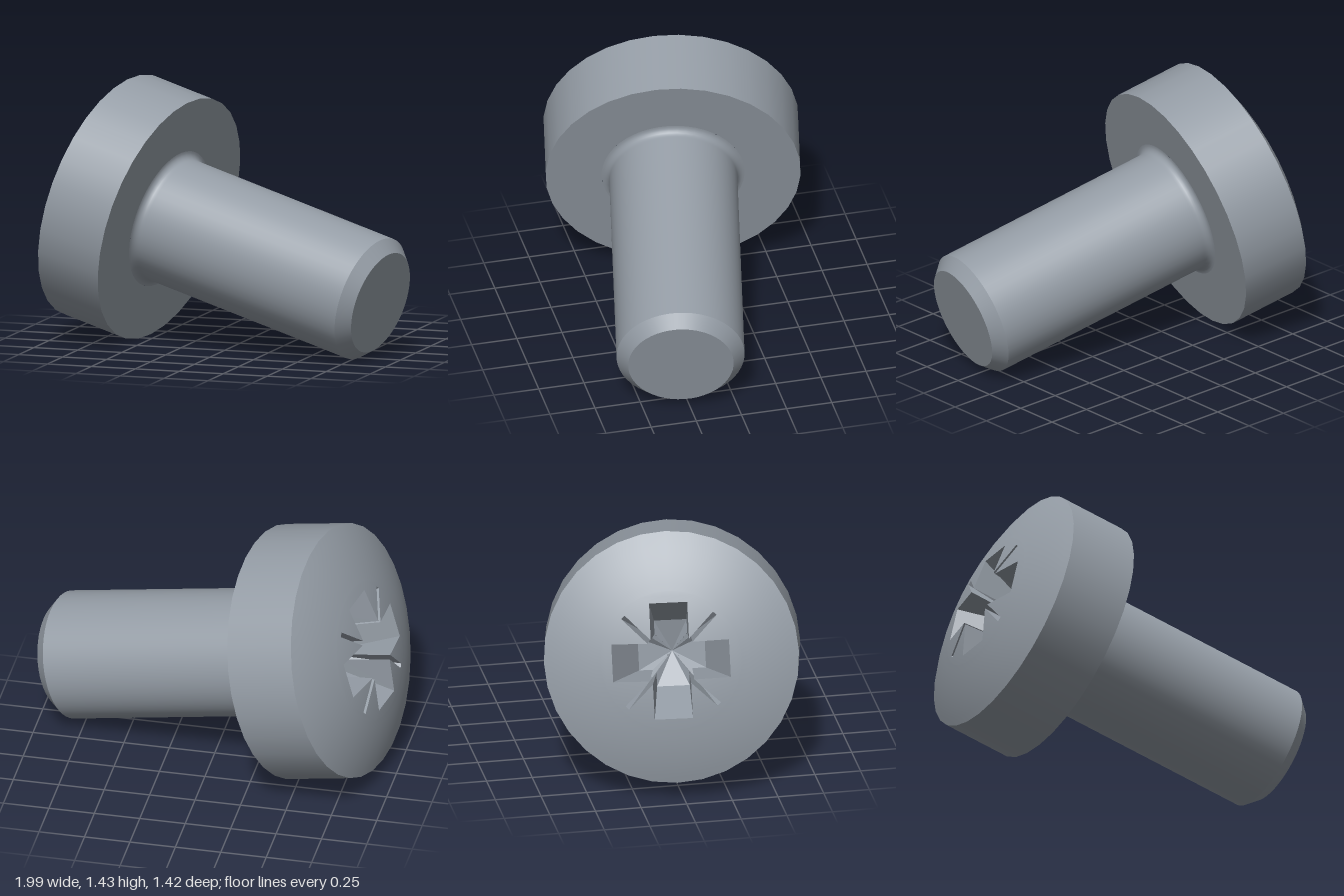
import * as THREE from 'three';

const R = 0.687, SIDE = 0.387, DOME = 0.165;      // head radius, rim height, dome rise
const SHAFT = 0.345, FILLET = 0.04, LEN = 1.305;  // shaft radius, root fillet, length to chamfer
const BALL = (R * R + DOME * DOME) / (2 * DOME);  // radius of the domed top
const BALL_Y = SIDE + DOME - BALL;
const PLATE = 0.38;                               // radius of the dome centre holding the recess
const domeY = (r) => BALL_Y + Math.sqrt(BALL * BALL - r * r);

export function createModel() {
  const steel = new THREE.MeshStandardMaterial({ color: 0x949ca5 });
  steel.name = 'steel grey';

  // The screw is built upright (head up, origin under the head), then tilted
  const screw = new THREE.Group();
  screw.name = 'screw';

  const add = (name, geometry) => {
    const mesh = new THREE.Mesh(geometry, steel);
    mesh.name = name;
    screw.add(mesh);
  };
  const turned = (name, pts, segments = 32) =>
    add(name, new THREE.LatheGeometry(pts.map(([x, y]) => new THREE.Vector2(x, y)), segments));

  // Shaft with chamfered tip and filleted root
  const tip = -LEN - 0.066;
  turned('shaftEnd', [[0, tip], [0.284, tip]], 48);
  turned('shaftChamfer', [[0.284, tip], [SHAFT, -LEN]], 48);
  const shaft = [[SHAFT, -LEN], [SHAFT, -FILLET - 0.01]];
  for (let i = 0; i <= 6; i++) {
    const a = (i / 6) * Math.PI / 2;
    shaft.push([SHAFT + FILLET * (1 - Math.cos(a)), FILLET * (Math.sin(a) - 1)]);
  }
  turned('shaft', shaft, 48);

  // Head: flat underside, straight rim, domed top
  turned('headUnderside', [[SHAFT + FILLET, 0], [R, 0]]);
  turned('headRim', [[R, 0], [R, SIDE]]);
  const dome = [];
  for (let i = 0; i <= 8; i++) {
    const r = R + (PLATE - R) * (i / 8);
    dome.push([r, domeY(r)]);
  }
  turned('headDome', dome);

  // Recess outline: four wide arms with a narrow slit on each diagonal.
  // Each corner is [x, y] at the surface, then [x, y] at the recess floor.
  const slit = (r, side) => {
    const k = Math.SQRT1_2, w = 0.013 * side;
    return [r * k - w * k, r * k + w * k];
  };
  const quarter = [
    [0.317, -0.103, 0.18, -0.088],
    [0.317, 0.103, 0.18, 0.088],
    [0.121, 0.103, 0.106, 0.088],
    [...slit(0.35, -1), ...slit(0.17, -1)],
    [...slit(0.35, 1), ...slit(0.17, 1)],
    [0.103, 0.121, 0.088, 0.106],
  ];
  const rim = [], floor = [];
  for (let q = 0; q < 4; q++) {
    const a = q * Math.PI / 2, o = new THREE.Vector2();
    for (const [x, y, fx, fy] of quarter) {
      rim.push(new THREE.Vector2(x, y).rotateAround(o, a));
      floor.push(new THREE.Vector2(fx, fy).rotateAround(o, a));
    }
  }

  // Dome centre, cut by the recess
  const circle = Array.from({ length: 32 }, (_, i) => {
    const a = (i / 32) * Math.PI * 2;
    return new THREE.Vector2(PLATE * Math.cos(a), PLATE * Math.sin(a));
  });
  const plate = new THREE.Shape(circle);
  plate.holes.push(new THREE.Path(rim));
  const centre = new THREE.ShapeGeometry(plate);
  const pos = centre.attributes.position, nor = centre.attributes.normal;
  for (let i = 0; i < pos.count; i++) {
    const x = pos.getX(i), z = -pos.getY(i), y = domeY(Math.hypot(x, z));
    pos.setXYZ(i, x, y, z);
    nor.setXYZ(i, x / BALL, (y - BALL_Y) / BALL, z / BALL);
  }
  add('headDomeCentre', centre);

  // Recess walls and pointed floor
  const depthY = SIDE + DOME - 0.3;
  const bottom = [0, depthY - 0.08, 0];
  const verts = [];
  const top = (p) => [p.x, domeY(p.length()), -p.y];
  const low = (p) => [p.x, depthY, -p.y];
  rim.forEach((p, i) => {
    const j = (i + 1) % rim.length;
    const a = top(p), b = top(rim[j]), c = low(floor[j]), d = low(floor[i]);
    verts.push(...a, ...b, ...c, ...a, ...c, ...d, ...d, ...c, ...bottom);
  });
  const recess = new THREE.BufferGeometry();
  recess.setAttribute('position', new THREE.Float32BufferAttribute(verts, 3));
  recess.computeVertexNormals();
  add('driveRecess', recess);

  // Lean the screw so it rests on its head rim and shaft tip
  const axis = new THREE.Vector3(-0.947, 0.254, -0.199).normalize();
  const side = new THREE.Vector3(0.254, 0.947, 0).normalize();
  const across = new THREE.Vector3().crossVectors(side, axis).normalize();
  side.crossVectors(axis, across);
  screw.quaternion.setFromRotationMatrix(new THREE.Matrix4().makeBasis(side, axis, across));
  screw.position.set(-0.39, 0.666, 0.04);

  const model = new THREE.Group();
  model.name = 'machineScrew';
  model.add(screw);
  return model;
}
